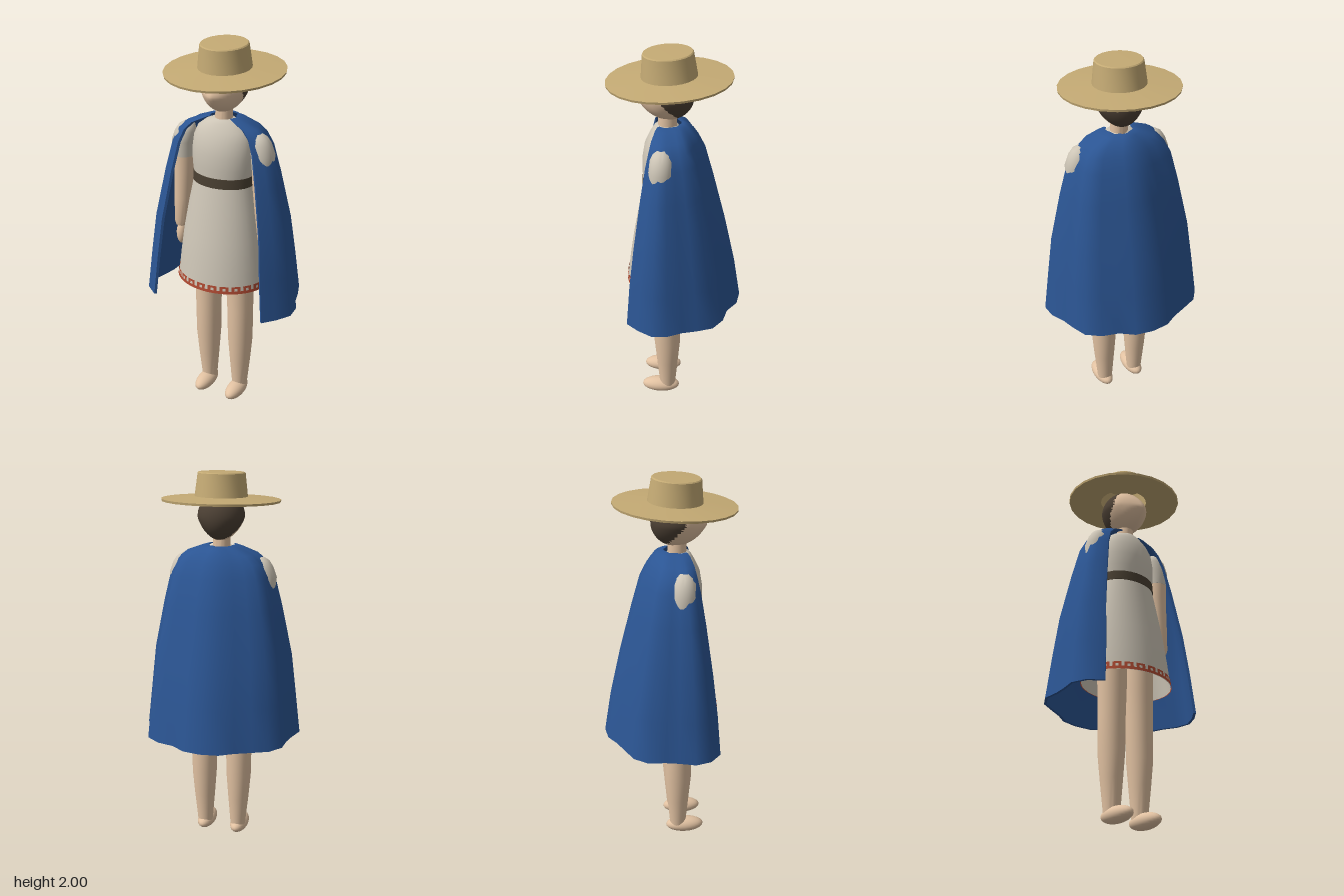
import * as THREE from 'three';
import { mergeVertices, toCreasedNormals } from 'three/addons/utils/BufferGeometryUtils.js';

const mat = (name, color, side = THREE.FrontSide) => {
  const m = new THREE.MeshStandardMaterial({ color, side });
  m.name = name;
  return m;
};

// Stack of elliptical rings, top to bottom: [y, rx, rz, cx, cz]
function loft(rows, seg = 28, open = false) {
  const n = rows.length - 1;
  const g = new THREE.CylinderGeometry(1, 1, 1, seg, n, open).rotateY(Math.PI);
  const p = g.attributes.position;
  for (let i = 0; i < p.count; i++) {
    const [y, rx, rz, cx = 0, cz = 0.05] = rows[Math.round((0.5 - p.getY(i)) * n)];
    p.setXYZ(i, cx + p.getX(i) * rx, y, cz + p.getZ(i) * rz);
  }
  return toCreasedNormals(g, 0.9);
}

function ellipsoid(rx, ry, rz, x, y, z) {
  return new THREE.SphereGeometry(1, 24, 16).scale(rx, ry, rz).translate(x, y, z);
}

function fromTriangles(points, index) {
  const g = new THREE.BufferGeometry();
  g.setAttribute('position', new THREE.Float32BufferAttribute(points, 3));
  g.setIndex(index);
  g.computeVertexNormals();
  return g;
}

// Head with a ridged face; the first material group is skin, the second hair
function headGeometry() {
  let g = new THREE.SphereGeometry(1, 48, 36);
  g.deleteAttribute('uv');
  g.deleteAttribute('normal');
  g = mergeVertices(g);
  const p = g.attributes.position;
  for (let i = 0; i < p.count; i++) {
    const y = 1.775 + p.getY(i) * 0.123;
    const x = p.getX(i) * 0.12 * (1 - 0.25 * Math.max(0, -p.getY(i)));
    let z = 0.035 + p.getZ(i) * 0.125;
    if (p.getZ(i) > 0) {
      const lift = y > 1.76 ? 1 - (y - 1.76) / 0.08 : 1 - (1.76 - y) / 0.11;
      z += 0.036 * Math.max(0, lift) * Math.max(0, 1 - Math.abs(x) / 0.09);
    }
    p.setXYZ(i, x, y, z);
  }
  const skin = [], hair = [], idx = g.index.array;
  for (let i = 0; i < idx.length; i += 3) {
    const f = [idx[i], idx[i + 1], idx[i + 2]];
    const y = f.reduce((s, k) => s + p.getY(k), 0) / 3;
    const z = f.reduce((s, k) => s + p.getZ(k), 0) / 3;
    (z < 0.075 - 0.8 * Math.max(0, 1.78 - y) ? hair : skin).push(...f);
  }
  g.setIndex([...skin, ...hair]);
  g.addGroup(0, skin.length, 0);
  g.addGroup(skin.length, hair.length, 1);
  g.computeVertexNormals();
  return g;
}

// Cape: the wavy hem outline scaled up through rows, with an inner shell
function capeGeometry() {
  const hem = [
    [-0.325, 0.242], [-0.395, 0.185], [-0.42, 0.104], [-0.397, 0.02], [-0.384, -0.05],
    [-0.38, -0.14], [-0.33, -0.21], [-0.25, -0.25], [-0.165, -0.29], [-0.095, -0.336],
    [0, -0.35], [0.095, -0.336], [0.167, -0.285], [0.257, -0.264], [0.33, -0.212],
    [0.36, -0.13], [0.38, -0.055], [0.415, 0.02], [0.42, 0.102], [0.375, 0.176], [0.318, 0.24]];
  // [y, half width, back z, front z]
  const rows = [
    [0.62, 0.42, -0.345, 0.242], [0.84, 0.395, -0.31, 0.225], [1.06, 0.37, -0.262, 0.2],
    [1.32, 0.316, -0.195, 0.165], [1.48, 0.276, -0.15, 0.14], [1.55, 0.24, -0.115, 0.125],
    [1.59, 0.19, -0.09, 0.115], [1.62, 0.11, -0.06, 0.1], [1.63, 0.08, -0.04, 0.09]];
  const n = hem.length, m = 2 * n, top = (rows.length - 1) * m;
  const pts = [], index = [];
  for (const [y, w, zb, zf] of rows) {
    const outer = hem.map(([x, z]) => [x * w / 0.42, zb + (z + 0.35) / 0.592 * (zf - zb)]);
    const mid = (zb + zf) / 2;
    const inner = outer.map(([x, z]) => {
      const k = 1 - 0.014 / Math.hypot(x, z - mid);
      return [x * k, mid + (z - mid) * k];
    });
    for (const [x, z] of [...outer, ...inner.reverse()]) pts.push(x, y, z);
  }
  for (let r = 0; r < top; r += m) {
    for (let i = 0; i < m; i++) {
      const a = r + i, b = r + (i + 1) % m;
      index.push(a, a + m, b + m, a, b + m, b);
    }
  }
  for (let i = 0; i < n - 1; i++) {
    const a = i, b = i + 1, c = m - 2 - i, d = m - 1 - i;
    index.push(a, b, c, a, c, d);
    index.push(top + a, top + c, top + b, top + a, top + d, top + c);
  }
  return toCreasedNormals(fromTriangles(pts, index), 0.9);
}

// Woven border: short upright dashes between a solid lower edge and a broken upper edge
function hemTrimGeometry() {
  const pts = [], index = [], count = 96;
  const quad = (k, y0, y1) => {
    const s = pts.length / 3;
    for (const [j, y] of [[k, y0], [k + 1, y0], [k + 1, y1], [k, y1]]) {
      const a = j / count * Math.PI * 2, grow = 0.004 - (y - 0.735) * 0.116;
      pts.push(Math.sin(a) * (0.249 + grow), y, 0.05 + Math.cos(a) * (0.209 + grow));
    }
    index.push(s, s + 1, s + 2, s, s + 2, s + 3);
  };
  for (let k = 0; k < count; k++) {
    if (k % 2) quad(k, 0.735, 0.775);
    else {
      quad(k, 0.735, 0.75);
      if (k % 4) quad(k, 0.764, 0.775);
    }
  }
  return fromTriangles(pts, index);
}

export function createModel() {
  const model = new THREE.Group();
  const skin = mat('skin', 0xe2c2a2);
  const hair = mat('hair', 0x4c4034);
  const cloth = mat('cream cloth', 0xcdc5b6, THREE.DoubleSide);
  const leather = mat('belt leather', 0x4a4032);
  const red = mat('red trim', 0xb04a32, THREE.DoubleSide);
  const blue = mat('blue cape', 0x2b5593, THREE.DoubleSide);
  const straw = mat('straw', 0xc4aa74);

  const add = (name, geometry, material, parent = model) => {
    const mesh = new THREE.Mesh(geometry, material);
    mesh.name = name;
    parent.add(mesh);
    return mesh;
  };

  // Head and neck
  add('head', headGeometry(), [skin, hair]);
  add('neck', loft([[1.7, 0.043, 0.046, 0, 0.043], [1.57, 0.045, 0.048, 0, 0.043]]), skin);

  // Wide-brimmed hat, tipped slightly forward
  const profile = [[0, 0.112], [0.112, 0.112], [0.125, -0.005], [0.3, -0.014], [0.302, -0.003],
    [0.22, 0.004], [0.134, 0.01], [0.12, 0.125], [0.115, 0.13], [0, 0.132]];
  const hat = add('hat', toCreasedNormals(new THREE.LatheGeometry(
    profile.map(([r, y]) => new THREE.Vector2(r, y)), 24), 0.6), straw);
  hat.scale.z = 1.04;
  hat.position.set(0, 1.866, 0.033);
  hat.rotation.x = 0.055;

  // Tunic, belt and border
  add('tunicTop', loft([[1.622, 0.055, 0.05], [1.605, 0.095, 0.065], [1.57, 0.138, 0.085],
    [1.52, 0.16, 0.108], [1.45, 0.169, 0.12], [1.38, 0.166, 0.122], [1.3, 0.157, 0.117]]), cloth);
  add('belt', loft([[1.336, 0.161, 0.123], [1.285, 0.165, 0.125]]), leather);
  add('skirt', loft([[1.3, 0.159, 0.117], [1.15, 0.19, 0.145], [1.0, 0.217, 0.173],
    [0.87, 0.234, 0.193], [0.735, 0.249, 0.209]], 36, true), cloth);
  add('hemTrim', hemTrimGeometry(), red);

  // Arms and legs, one set per side
  for (const s of [-1, 1]) {
    const side = s > 0 ? 'left' : 'right';
    const limb = (rows) => loft(rows.map(([y, rx, rz, x, z]) => [y, rx, rz, s * x, z]));
    add(side + 'Sleeve', limb([[1.572, 0.02, 0.02, 0.2, 0.06], [1.555, 0.042, 0.042, 0.205, 0.06],
      [1.525, 0.055, 0.056, 0.212, 0.06], [1.47, 0.061, 0.063, 0.226, 0.06],
      [1.39, 0.055, 0.058, 0.225, 0.06]]), cloth);
    add(side + 'Arm', limb([[1.392, 0.054, 0.057, 0.225, 0.06], [1.3, 0.051, 0.053, 0.226, 0.06],
      [1.15, 0.047, 0.047, 0.236, 0.06], [1.01, 0.04, 0.041, 0.246, 0.06],
      [0.985, 0.032, 0.034, 0.247, 0.06]]), skin);
    add(side + 'Hand', ellipsoid(0.028, 0.064, 0.032, s * 0.25, 0.932, 0.06), skin);
    add(side + 'Leg', limb([[1.0, 0.078, 0.08, 0.095, 0.045], [0.72, 0.075, 0.076, 0.095, 0.045],
      [0.55, 0.07, 0.071, 0.097, 0.045], [0.36, 0.067, 0.071, 0.098, 0.044],
      [0.22, 0.056, 0.058, 0.097, 0.044], [0.08, 0.043, 0.045, 0.095, 0.044],
      [0.04, 0.04, 0.042, 0.095, 0.044]]), skin);
    add(side + 'Foot', ellipsoid(0.048, 0.042, 0.103, s * 0.095, 0.042, 0.082), skin);
  }

  add('cape', capeGeometry(), blue);
  return model;
}
